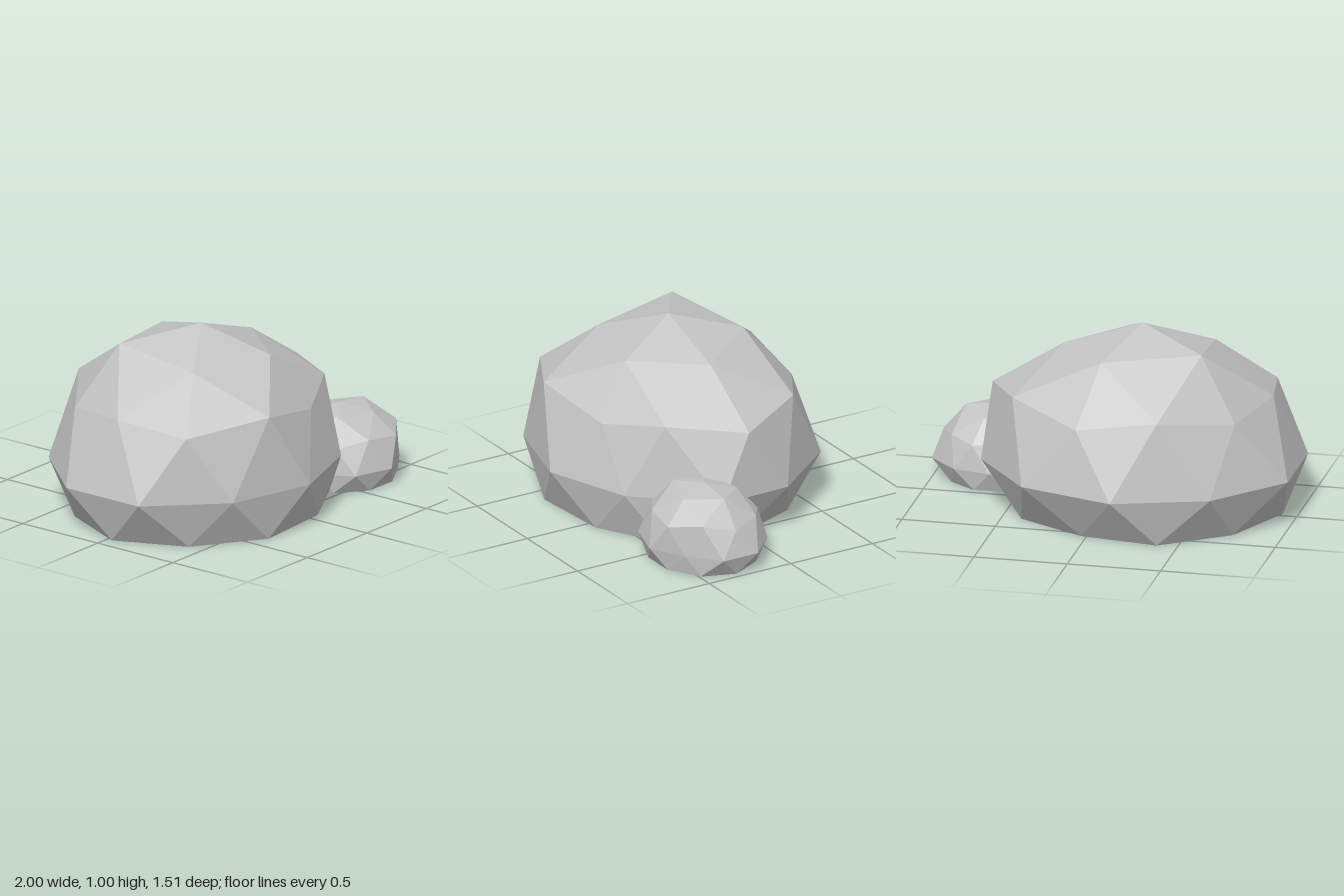
import * as THREE from 'three';

const stone = new THREE.MeshStandardMaterial({ color: 0xc4c4c4, flatShading: true });
stone.name = 'stone grey';

// Faceted boulder: top point, ring of 5 crown points, three rings of 10, flat base.
// Rings run counter-clockwise seen from above, starting at +x.
function boulder(name, { top, crown, shoulder, waist, waistY, foot }) {
  const belt = waist.map(([x, z]) => [x, waistY, z]);
  const base = foot.map(([x, z]) => [x, 0, z]);
  const middle = [0, 1, 2].map(a => base.reduce((s, p) => s + p[a], 0) / 10);
  const pos = [];
  const tri = (a, b, c) => pos.push(...a, ...b, ...c);

  // Crown: five large faces, each with three faces below it
  for (let i = 0; i < 5; i++) {
    const a = crown[i], b = crown[(i + 1) % 5];
    const s0 = shoulder[2 * i], mid = shoulder[2 * i + 1], s1 = shoulder[(2 * i + 2) % 10];
    tri(top, a, b);
    tri(a, mid, b);
    tri(a, s0, mid);
    tri(b, mid, s1);
  }
  // Sides: zigzag bands above and below the waist, then the base
  for (let k = 0; k < 10; k++) {
    const n = (k + 1) % 10;
    tri(shoulder[k], belt[k], shoulder[n]);
    tri(shoulder[n], belt[k], belt[n]);
    tri(belt[k], base[k], base[n]);
    tri(belt[k], base[n], belt[n]);
    tri(middle, base[n], base[k]);
  }
  const geo = new THREE.BufferGeometry();
  geo.setAttribute('position', new THREE.Float32BufferAttribute(pos, 3));
  geo.computeVertexNormals();
  const mesh = new THREE.Mesh(geo, stone);
  mesh.name = name;
  return mesh;
}

export function createModel() {
  const group = new THREE.Group();
  group.name = 'rocks';

  group.add(boulder('largeRock', {
    top: [-0.17, 1, 0.03],
    crown: [[0.25, 0.86, 0.03], [-0.03, 0.89, -0.34], [-0.54, 0.93, -0.22], [-0.51, 0.86, 0.25], [-0.03, 0.86, 0.38]],
    shoulder: [
      [0.635, 0.615, 0.03], [0.44, 0.67, -0.36], [0.05, 0.595, -0.59], [-0.39, 0.67, -0.61], [-0.75, 0.61, -0.35],
      [-0.87, 0.65, 0.03], [-0.8, 0.61, 0.43], [-0.39, 0.67, 0.66], [0.06, 0.58, 0.58], [0.4, 0.645, 0.4],
    ],
    waistY: 0.26,
    waist: [
      [0.645, -0.2], [0.34, -0.59], [-0.17, -0.755], [-0.67, -0.59], [-1, -0.21],
      [-1, 0.27], [-0.65, 0.625], [-0.17, 0.755], [0.3, 0.59], [0.655, 0.2],
    ],
    foot: [
      [0.53, 0.02], [0.395, -0.35], [0.03, -0.55], [-0.39, -0.61], [-0.74, -0.36],
      [-0.92, 0.03], [-0.75, 0.41], [-0.39, 0.655], [0.065, 0.62], [0.42, 0.42],
    ],
  }));

  group.add(boulder('smallRock', {
    top: [0.65, 0.4, 0.31],
    crown: [[0.84, 0.38, 0.31], [0.71, 0.36, 0.15], [0.49, 0.38, 0.22], [0.49, 0.38, 0.41], [0.71, 0.365, 0.48]],
    shoulder: [
      [0.96, 0.24, 0.31], [0.88, 0.265, 0.14], [0.75, 0.24, 0.05], [0.55, 0.265, 0.05], [0.4, 0.24, 0.13],
      [0.37, 0.27, 0.31], [0.39, 0.24, 0.48], [0.55, 0.27, 0.575], [0.75, 0.25, 0.6], [0.9, 0.28, 0.48],
    ],
    waistY: 0.105,
    waist: [
      [1, 0.2], [0.85, 0.05], [0.65, 0.005], [0.45, 0.05], [0.34, 0.21],
      [0.34, 0.42], [0.43, 0.585], [0.65, 0.65], [0.84, 0.55], [1, 0.41],
    ],
    foot: [
      [0.965, 0.31], [0.88, 0.14], [0.74, 0.04], [0.55, 0.05], [0.4, 0.13],
      [0.36, 0.31], [0.385, 0.47], [0.54, 0.59], [0.73, 0.59], [0.9, 0.49],
    ],
  }));

  return group;
}
